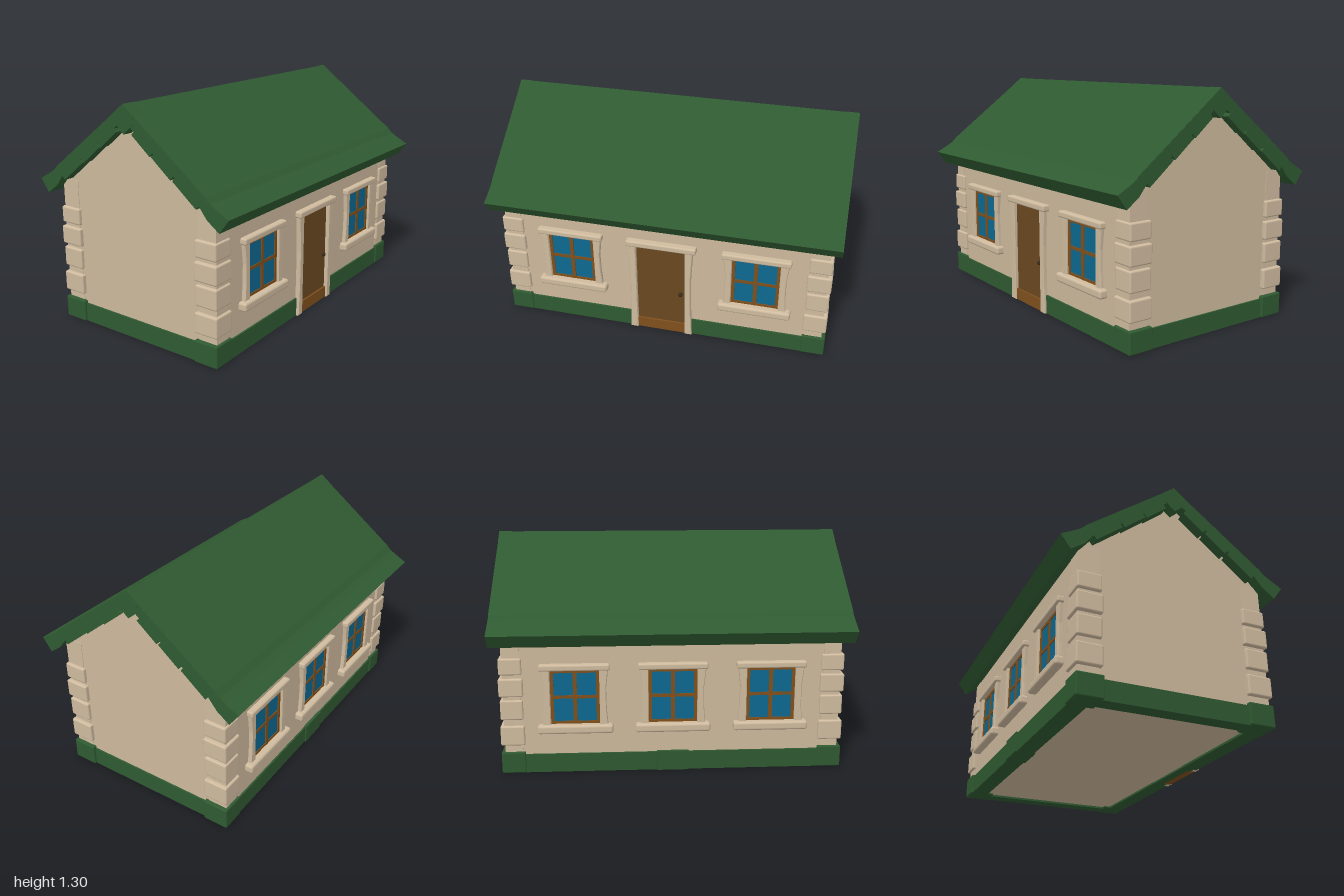
import * as THREE from 'three';
import { RoundedBoxGeometry } from 'three/addons/geometries/RoundedBoxGeometry.js';

const mat = (name, color) => {
  const m = new THREE.MeshStandardMaterial({ color });
  m.name = name;
  return m;
};

export function createModel() {
  const house = new THREE.Group();
  house.name = 'cottage';
  const plaster = mat('plaster', 0xcdb99c);
  const stone = mat('stone trim', 0xcfbb9f);
  const green = mat('green paint', 0x2f5a31);
  const doorWood = mat('door wood', 0x694820);
  const frameWood = mat('frame wood', 0x80501c);
  const glass = mat('window glass', 0x0d6890);
  const iron = mat('knob iron', 0x3a2b1c);

  const add = (parent, name, geometry, material) => {
    const m = new THREE.Mesh(geometry, material);
    m.name = name;
    parent.add(m);
    return m;
  };
  // Box given by its limits, with optional rounded edges
  const box = (parent, name, [x0, x1], [y0, y1], [z0, z1], material, r = 0) => {
    const s = [x1 - x0, y1 - y0, z1 - z0];
    const g = r ? new RoundedBoxGeometry(...s, 2, r) : new THREE.BoxGeometry(...s);
    g.translate((x0 + x1) / 2, (y0 + y1) / 2, (z0 + z1) / 2);
    return add(parent, name, g, material);
  };
  // Profile of [z, y] points swept along x
  const sweepX = (name, points, x0, x1, material) => {
    const shape = new THREE.Shape(points.map(([z, y]) => new THREE.Vector2(-z, y)));
    const g = new THREE.ExtrudeGeometry(shape, { depth: x1 - x0, bevelEnabled: false });
    g.rotateY(Math.PI / 2).translate(x0, 0, 0);
    return add(house, name, g, material);
  };
  // Upright with a waist, thicker at both ends on its outer side
  const jamb = (parent, xIn, side, y0, y1, w, z1) => {
    const h = y1 - y0;
    const s = new THREE.Shape([[0, 0], [w, 0], [w * 0.8, h * 0.3], [w * 0.75, h * 0.65], [w * 1.1, h], [0, h]]
      .map(([x, y]) => new THREE.Vector2(xIn + side * x, y0 + y)));
    const g = new THREE.ExtrudeGeometry(s, {
      depth: z1 - 0.53, bevelEnabled: true, bevelSize: 0.004, bevelThickness: 0.006, bevelSegments: 1,
    });
    add(parent, 'jamb', g.translate(0, 0, 0.524), stone);
  };

  // Walls with gables
  sweepX('walls', [[-0.53, 0.012], [0.53, 0.012], [0.53, 0.84], [0, 1.235], [-0.53, 0.84]], -0.94, 0.94, plaster);

  // Base boards, open at the doorway
  box(house, 'baseBoard', [-0.95, -0.19], [0, 0.108], [0.44, 0.54], green);
  box(house, 'baseBoard', [0.18, 0.95], [0, 0.108], [0.44, 0.54], green);
  box(house, 'baseBoard', [-0.19, 0.18], [0, 0.01], [0.44, 0.52], green);
  box(house, 'baseBoard', [-0.95, 0.95], [0, 0.108], [-0.54, -0.44], green);
  box(house, 'backBaseBlock', [-0.09, 0.09], [0, 0.114], [-0.548, -0.43], green);
  for (const s of [-1, 1]) {
    box(house, 'sideBaseBoard', s < 0 ? [-0.95, -0.86] : [0.86, 0.95], [0, 0.108], [-0.5, 0.5], green);
  }

  // Corner posts, quoins and base corners
  const quoins = [[0.165, 0.28], [0.315, 0.43], [0.45, 0.555], [0.575, 0.67]];
  for (const sx of [-1, 1]) {
    for (const sz of [-1, 1]) {
      const span = (s, a, b) => (s > 0 ? [a, b] : [-b, -a]);
      box(house, 'cornerPost', span(sx, 0.845, 0.943), [0.1, 0.83], span(sz, 0.42, 0.534), stone);
      box(house, 'baseCorner', span(sx, 0.83, 0.965), [0, 0.124], span(sz, 0.4, 0.548), green, 0.008);
      quoins.forEach((y, i) => {
        const d = i % 2 ? 0.004 : 0;
        box(house, 'quoin', span(sx, 0.83 + d, 0.965 - d), y, span(sz, 0.405 + d, 0.548 - d), stone, 0.01);
      });
    }
  }

  // Windows, modelled at the front wall around x = 0
  const addWindow = (name, x, back) => {
    const w = new THREE.Group();
    w.name = name;
    box(w, 'pane', [-0.135, 0.135], [0.285, 0.6], [0.526, 0.532], glass);
    for (const cx of [-0.129, 0, 0.129]) {
      box(w, 'mullion', [cx - 0.011, cx + 0.011], [0.285, 0.6], [0.527, 0.538], frameWood);
    }
    for (const cy of [0.294, 0.444, 0.592]) {
      box(w, 'crossbar', [-0.135, 0.135], [cy - 0.009, cy + 0.009], [0.527, 0.537], frameWood);
    }
    jamb(w, -0.14, -1, 0.28, 0.605, 0.038, 0.552);
    jamb(w, 0.14, 1, 0.28, 0.605, 0.038, 0.552);
    box(w, 'lintel', [-0.195, 0.195], [0.6, 0.636], [0.52, 0.566], stone, 0.01);
    box(w, 'sill', [-0.21, 0.21], [0.238, 0.288], [0.52, 0.576], stone, 0.014);
    w.position.x = x;
    if (back) w.rotation.y = Math.PI;
    house.add(w);
  };
  addWindow('frontWindow', -0.543, false);
  addWindow('frontWindow', 0.545, false);
  for (const x of [-0.55, 0, 0.545]) addWindow('backWindow', x, true);

  // Door
  const door = new THREE.Group();
  door.name = 'door';
  house.add(door);
  box(door, 'doorPanel', [-0.155, 0.145], [0.06, 0.605], [0.52, 0.534], doorWood);
  box(door, 'threshold', [-0.155, 0.145], [0, 0.068], [0.5, 0.545], frameWood);
  jamb(door, -0.152, -1, 0.004, 0.605, 0.038, 0.556);
  jamb(door, 0.142, 1, 0.004, 0.605, 0.036, 0.556);
  box(door, 'doorLintel', [-0.205, 0.205], [0.6, 0.638], [0.52, 0.568], stone, 0.01);
  const knob = add(door, 'doorKnob', new THREE.SphereGeometry(0.013, 12, 8), iron);
  knob.position.set(0.112, 0.285, 0.541);

  // Roof: sheets with a lapped lower course, thick eaves, split rake boards
  const top = (z) => 1.303 - 0.757 * z;
  const rakes = [[0.065, 0.182], [0.192, 0.312], [0.325, 0.47]];
  for (const s of [-1, 1]) {
    const side = (pts) => pts.map(([z, y]) => [s * z, y]);
    sweepX('roofSheet', side([[0, 1.303], [0.515, top(0.515)], [0.56, 0.868], [0.53, 0.82], [0, 1.225]]), -0.999, 0.999, green);
    sweepX('eave', side([[0.51, 0.905], [0.58, 0.862], [0.652, 0.823], [0.597, 0.748], [0.525, 0.8], [0.475, 0.862]]), -1, 1, green);
    for (const [a, b] of rakes) {
      // Ends are cut square to the slope
      const pts = side([[a + 0.045, top(a + 0.045) - 0.002], [b + 0.045, top(b + 0.045) - 0.002],
        [b - 0.012, top(b - 0.012) - 0.115], [a - 0.012, top(a - 0.012) - 0.108]]);
      sweepX('rakeBoard', pts, 0.925, 1, green);
      sweepX('rakeBoard', pts, -1, -0.925, green);
    }
  }
  const cap = [[0, 1.305], [0.07, 1.25], [0.062, 1.205], [0, 1.15], [-0.062, 1.205], [-0.07, 1.25]];
  sweepX('ridgeCap', cap, 0.925, 1, green);
  sweepX('ridgeCap', cap, -1, -0.925, green);

  return house;
}
